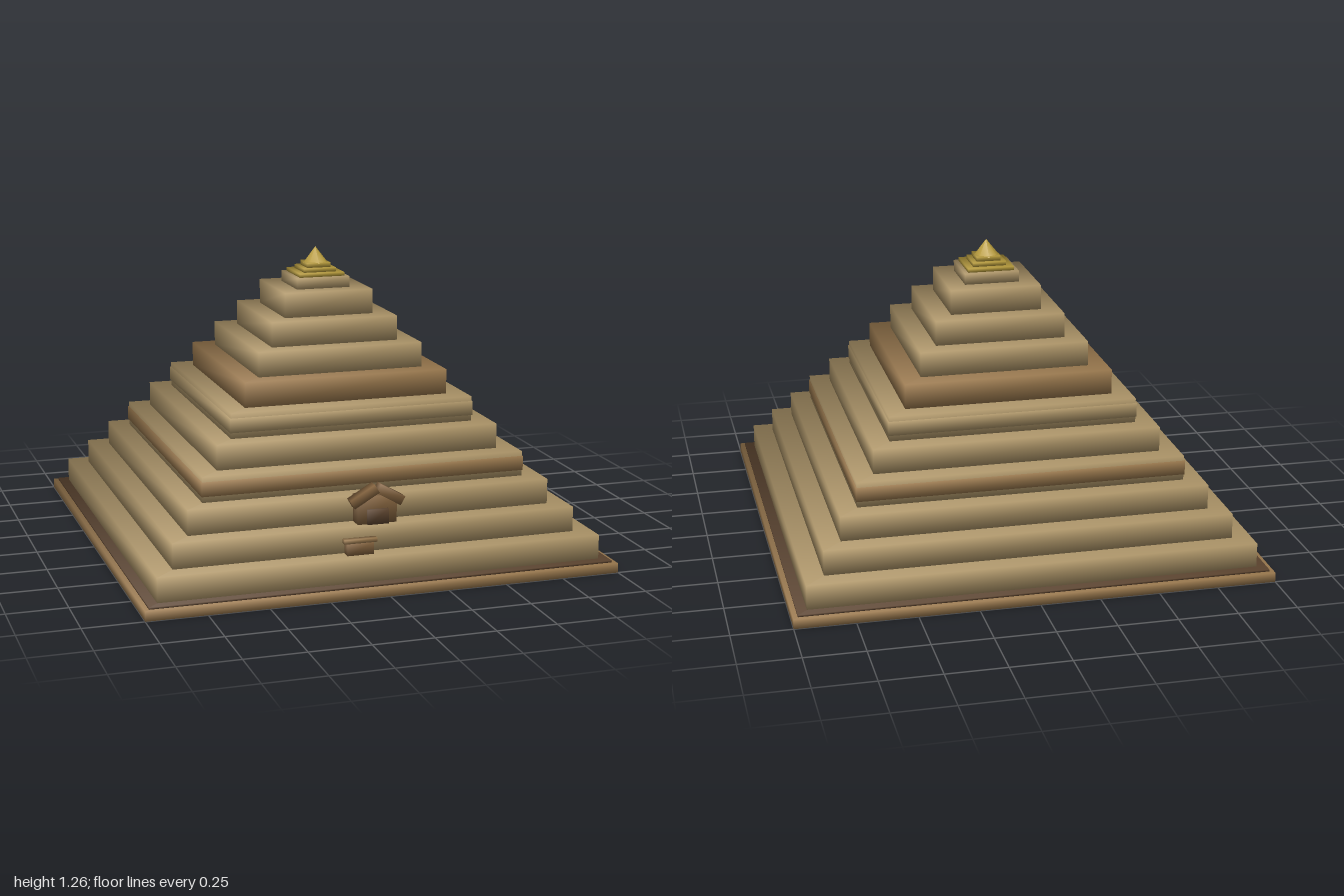
import * as THREE from 'three';

const mat = (color) => new THREE.MeshStandardMaterial({ color, roughness: 0.9 });

export function createModel() {
  const model = new THREE.Group();
  const sand = mat(0xb39a6c), clay = mat(0x9e7c50), wood = mat(0x85643f),
    dark = mat(0x5f4630), gold = mat(0xb89c3c);

  // Box with normals blended over its corners, giving the soft shaded steps
  function softBox(w, h, d) {
    const geo = new THREE.BoxGeometry(w, h, d);
    const p = geo.attributes.position, n = geo.attributes.normal, s = Math.sqrt(1 / 3);
    for (let i = 0; i < p.count; i++) {
      n.setXYZ(i, Math.sign(p.getX(i)) * s, Math.sign(p.getY(i)) * s, Math.sign(p.getZ(i)) * s);
    }
    return geo;
  }

  // Block given by its limits on each axis
  function block(name, parent, material, [x0, x1], [y0, y1], [z0, z1]) {
    const mesh = new THREE.Mesh(softBox(x1 - x0, y1 - y0, z1 - z0), material);
    mesh.name = name;
    mesh.position.set((x0 + x1) / 2, (y0 + y1) / 2, (z0 + z1) / 2);
    parent.add(mesh);
    return mesh;
  }

  const slab = (name, parent, material, half, y0, y1) =>
    block(name, parent, material, [-half, half], [y0, y1], [-half, half]);

  // Ground plinth
  slab('plinth', model, clay, 1, 0, 0.04);
  slab('plinthStep', model, dark, 0.98, 0.04, 0.048);

  // Stepped tiers
  const tiers = new THREE.Group();
  tiers.name = 'tiers';
  model.add(tiers);
  const step = 0.1055;
  for (let i = 0; i < 10; i++) {
    const y0 = 0.045 + i * step;
    const half = 0.938 - i * 0.0825;
    slab('tier' + (i + 1), tiers, i === 6 ? clay : sand, half, y0, y0 + step);
    // Slightly proud bands on two of the tiers
    if (i === 3 || i === 5) {
      slab('band' + (i + 1), tiers, i === 3 ? clay : sand, half + 0.004, y0 + 0.025, y0 + 0.085);
    }
  }

  // Summit platform, gilded steps and pointed cap
  slab('summitPlatform', model, sand, 0.118, 1.1, 1.147);
  const summit = new THREE.Group();
  summit.name = 'summit';
  model.add(summit);
  [[0.1, 1.147, 1.163], [0.072, 1.163, 1.18], [0.052, 1.18, 1.2]].forEach(([half, y0, y1], i) =>
    slab('goldStep' + (i + 1), summit, gold, half, y0, y1));
  const cap = new THREE.Mesh(new THREE.ConeGeometry(0.055, 0.07, 8), gold);
  cap.name = 'cap';
  cap.position.y = 1.23;
  summit.add(cap);

  // Gabled entrance on the second terrace
  const entrance = new THREE.Group();
  entrance.name = 'entrance';
  model.add(entrance);
  block('gatehouse', entrance, wood, [-0.083, 0.083], [0.256, 0.37], [0.765, 0.835]);
  block('door', entrance, dark, [-0.045, 0.045], [0.256, 0.318], [0.8, 0.848]);
  for (const side of [-1, 1]) {
    const roof = new THREE.Mesh(softBox(0.12, 0.04, 0.045), wood);
    roof.name = side > 0 ? 'roofLeft' : 'roofRight';
    roof.position.set(side * 0.055, 0.373, 0.82);
    roof.rotation.z = -side * Math.PI / 6;
    entrance.add(roof);
  }

  // Small altar on the first terrace
  const altar = new THREE.Group();
  altar.name = 'altar';
  model.add(altar);
  block('altarBody', altar, wood, [-0.147, -0.037], [0.15, 0.2], [0.85, 0.9]);
  block('altarTop', altar, clay, [-0.16, -0.022], [0.2, 0.217], [0.873, 0.9]);

  return model;
}
